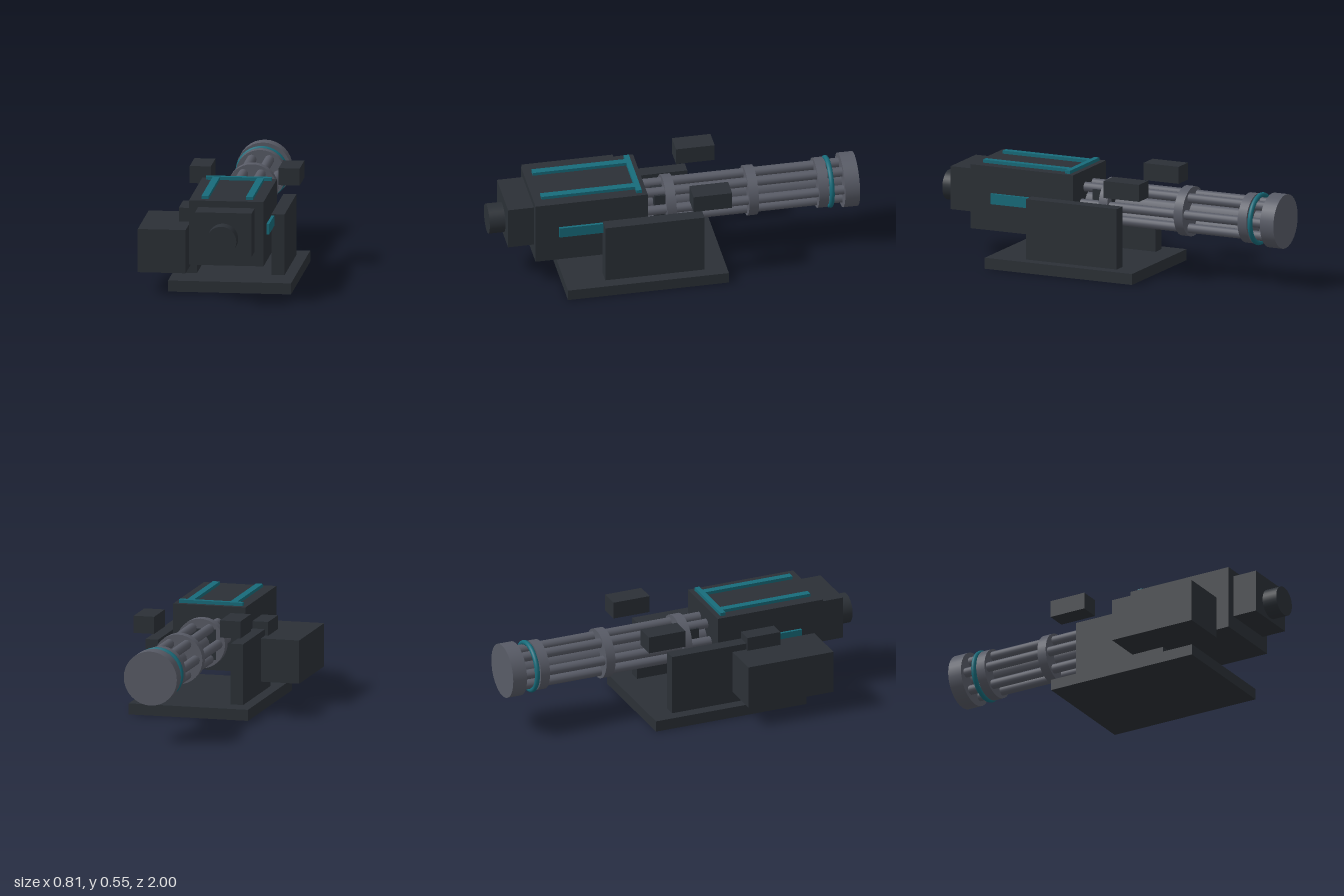
import * as THREE from 'three';

const AXIS_X = 0.075, AXIS_Y = 0.356;

export function createModel() {
  const model = new THREE.Group();
  model.name = 'rotaryTurret';
  const dark = new THREE.MeshStandardMaterial({ color: 0x2b3036 });
  const steel = new THREE.MeshStandardMaterial({ color: 0x585b66 });
  const teal = new THREE.MeshStandardMaterial({ color: 0x176b7a });

  const add = (name, geometry, material, parent = model) => {
    const mesh = new THREE.Mesh(geometry, material);
    mesh.name = name;
    parent.add(mesh);
    return mesh;
  };
  // Box given by its limits on each axis
  const box = (name, [x0, x1], [y0, y1], [z0, z1], material = dark) =>
    add(name, new THREE.BoxGeometry(x1 - x0, y1 - y0, z1 - z0), material)
      .position.set((x0 + x1) / 2, (y0 + y1) / 2, (z0 + z1) / 2);
  // Cylinder along z, placed relative to its parent
  const rod = (name, r, z0, z1, material, parent, x = 0, y = 0, sides = 32) => {
    const geometry = new THREE.CylinderGeometry(r, r, z1 - z0, sides).rotateX(Math.PI / 2);
    add(name, geometry, material, parent).position.set(x, y, (z0 + z1) / 2);
  };

  // Mount
  box('basePlate', [-0.255, 0.405], [0, 0.06], [-0.25, 0.625]);
  for (const s of [-1, 1]) {
    const span = (a, b) => [AXIS_X + s * a, AXIS_X + s * b].sort((p, q) => p - q);
    box('sideWall', span(0.2, 0.27), [0.06, 0.39], [-0.13, 0.41]);
    box('sideStripe', span(0.19, 0.215), [0.327, 0.384], [0.4, 0.648], teal);
    box('sensorBlock', span(0.182, 0.295), [0.45, 0.543], [-0.275, -0.065]);
    box('topStripe', span(0.1, 0.138), [0.525, 0.547], [0.2, 0.73], teal);
  }

  // Receiver and motor
  box('receiver', [-0.125, 0.275], [0.18, 0.53], [0.165, 0.775]);
  box('topCrossStripe', [-0.1, 0.252], [0.525, 0.548], [0.193, 0.222], teal);
  box('rearHousing', [-0.076, 0.228], [0.26, 0.495], [0.77, 0.915]);
  box('barrelHub', [-0.01, 0.16], [0.272, 0.437], [-0.01, 0.105]);

  // Ammunition feed
  box('ammoBox', [-0.407, -0.15], [0.12, 0.355], [0.22, 0.715]);
  box('feedBlock', [-0.213, -0.12], [0.3, 0.43], [0.3, 0.49]);

  // Round parts around the firing axis
  const barrels = new THREE.Group();
  barrels.name = 'barrelCluster';
  barrels.position.set(AXIS_X, AXIS_Y, 0);
  model.add(barrels);
  rod('motor', 0.081, 0.91, 1, dark, barrels);
  rod('spindle', 0.05, -0.93, 0.17, steel, barrels, 0, 0, 16);
  for (let i = 0; i < 6; i++) {
    const a = i * Math.PI / 3;
    rod('barrel', 0.026, -0.93, 0.17, steel, barrels, 0.095 * Math.cos(a), 0.095 * Math.sin(a), 16);
  }
  for (const z of [0.02, -0.427, -0.807]) rod('clampRing', 0.135, z - 0.026, z + 0.026, steel, barrels);
  rod('muzzleCap', 0.147, -1, -0.92, steel, barrels);
  add('muzzleBand', new THREE.TorusGeometry(0.129, 0.0135, 10, 40), teal, barrels).position.z = -0.852;

  return model;
}
